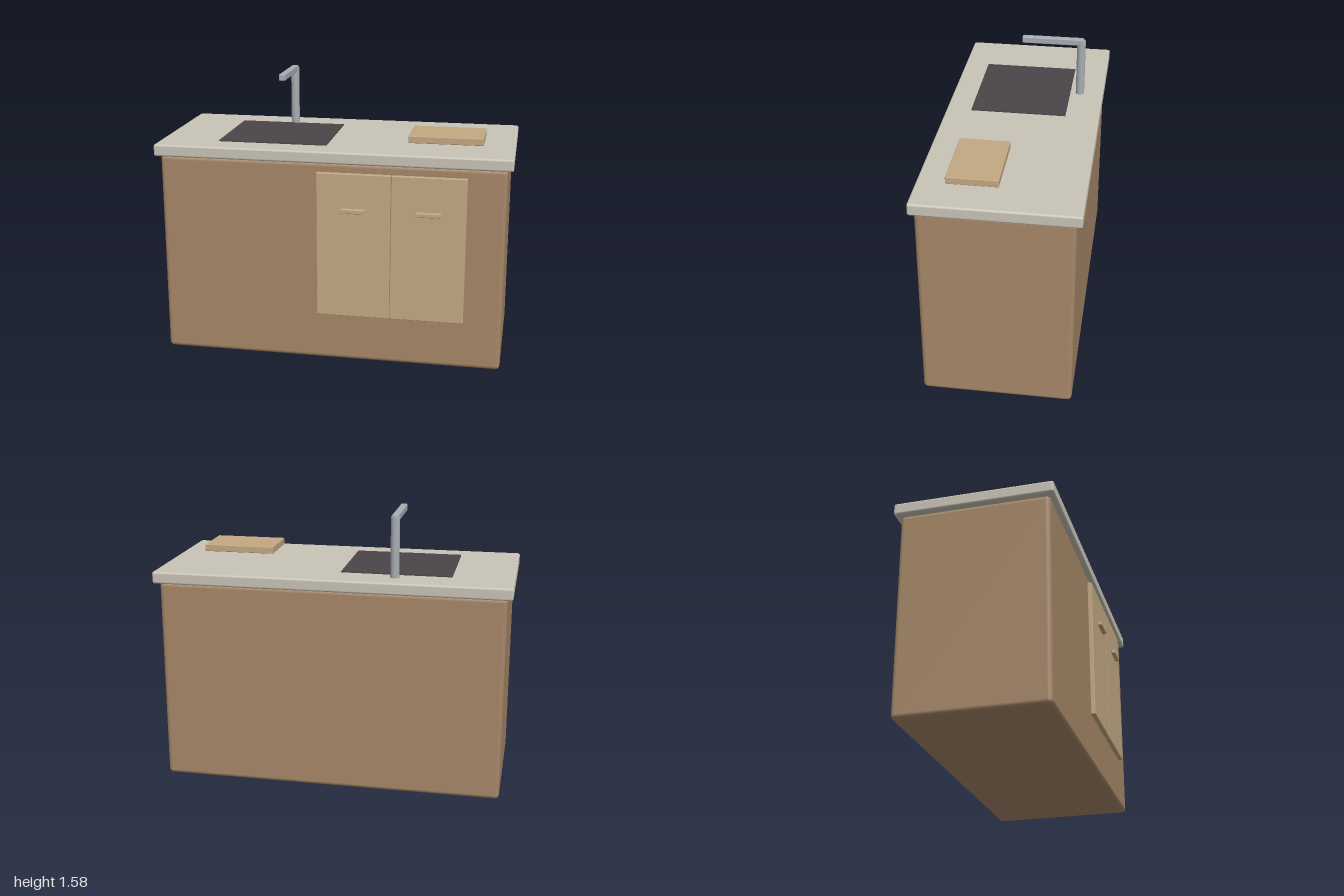
import * as THREE from 'three';
import { RoundedBoxGeometry } from 'three/addons/geometries/RoundedBoxGeometry.js';

const paint = (name, color) => {
  const m = new THREE.MeshStandardMaterial({ color });
  m.name = name;
  return m;
};

export function createModel() {
  const wood = paint('brown wood', 0xa68768);
  const lightWood = paint('light wood', 0xc3a983);
  const stone = paint('pale stone', 0xc9c4b7);
  const basin = paint('dark basin', 0x4a4549);
  const metal = paint('grey metal', 0xa8adb3);

  const group = new THREE.Group();
  group.name = 'kitchenSinkCabinet';

  // Box given by its extents on each axis, with optional rounded edges
  const block = (name, material, [x0, x1], [y0, y1], [z0, z1], radius = 0) => {
    const size = [x1 - x0, y1 - y0, z1 - z0];
    const geometry = radius
      ? new RoundedBoxGeometry(...size, 3, radius)
      : new THREE.BoxGeometry(...size);
    const mesh = new THREE.Mesh(geometry, material);
    mesh.name = name;
    mesh.position.set((x0 + x1) / 2, (y0 + y1) / 2, (z0 + z1) / 2);
    group.add(mesh);
  };

  // Cabinet and worktop
  block('cabinetBody', wood, [-0.97, 0.97], [0, 1.165], [-0.425, 0.402], 0.025);
  block('countertop', stone, [-1, 1], [1.162, 1.23], [-0.456, 0.428], 0.012);

  // Sink surface, just proud of the worktop
  block('sinkBasin', basin, [-0.66, -0.04], [1.228, 1.236], [-0.263, 0.282]);

  // Pair of doors with bar handles
  [-0.07, 0.346].forEach((x, i) => {
    const side = i ? 'left' : 'right';
    block(side + 'Door', lightWood, [x, x + 0.413], [0.28, 1.112], [0.403, 0.43], 0.004);
    block(side + 'Handle', lightWood, [x + 0.138, x + 0.276], [0.894, 0.918], [0.432, 0.458], 0.004);
  });

  // Cutting board
  block('cuttingBoard', lightWood, [0.416, 0.829], [1.26, 1.3], [-0.014, 0.263], 0.004);

  // Faucet
  const post = new THREE.Mesh(new THREE.CylinderGeometry(0.025, 0.025, 0.335, 24), metal);
  post.name = 'faucetPost';
  post.position.set(-0.35, 1.3975, -0.319);
  group.add(post);
  block('faucetSpout', metal, [-0.369, -0.331], [1.539, 1.577], [-0.332, 0.025], 0.006);

  return group;
}
